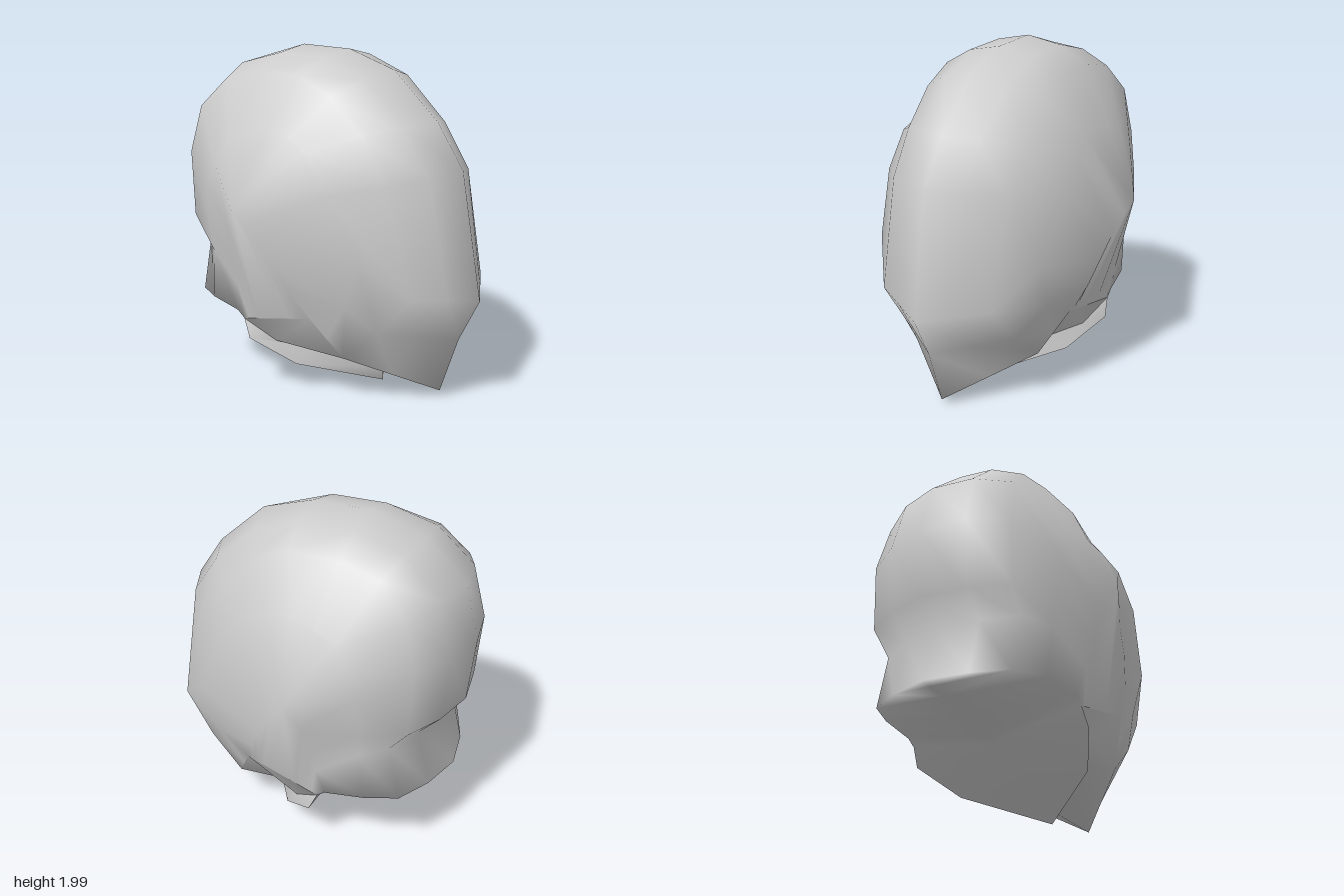
import * as THREE from 'three';
import { mergeGeometries, mergeVertices } from 'three/addons/utils/BufferGeometryUtils.js';

// Lines running from the chin, over the crown and down to the nape
const ridge = [ // centre line: y, z
  [0.05, 0.72], [0.39, 0.84], [0.64, 0.97], [1.36, 0.84], [1.61, 0.67], [1.88, 0.37], [1.985, 0.05],
  [2, -0.3], [1.91, -0.63], [1.69, -0.88], [1.36, -0.965], [0.97, -0.93], [0.83, -0.8], [0.5, -0.89],
].map(([y, z]) => [0, y, z]);
const shoulder = [
  [0.42, 0.28, 0.34], [0.39, 0.46, 0.56], [0.35, 0.69, 0.76], [0.37, 1.3, 0.6], [0.37, 1.55, 0.44],
  [0.38, 1.75, 0.22], [0.385, 1.85, 0], [0.385, 1.86, -0.3], [0.4, 1.81, -0.56], [0.45, 1.64, -0.73],
  [0.48, 1.36, -0.8], [0.48, 0.97, -0.78], [0.46, 0.83, -0.67], [0.46, 0.5, -0.74],
];
const temple = [
  [0.485, 0.4, 0.27], [0.51, 0.62, 0.42], [0.53, 0.9, 0.52], [0.59, 1.25, 0.34], [0.575, 1.46, 0.2],
  [0.55, 1.53, 0.05], [0.55, 1.54, -0.1], [0.56, 1.52, -0.25], [0.58, 1.47, -0.38], [0.61, 1.35, -0.47],
  [0.62, 1.2, -0.52], [0.59, 0.95, -0.54], [0.57, 0.8, -0.53], [0.55, 0.5, -0.56],
];
const peak = [0.77, 1.13, -0.17]; // widest point of the side
const cheek = [ // up the rear edge of the face to the peak, then down to the neck
  [0.55, 0.52, 0.2], [0.63, 0.68, 0.12], [0.67, 0.82, 0.05], [0.7, 0.95, -0.04], [0.74, 1.05, -0.11],
  peak, peak, peak, peak, peak,
  [0.71, 0.98, -0.25], [0.66, 0.8, -0.28], [0.62, 0.64, -0.29], [0.58, 0.47, -0.33],
];

const mirror = ([x, y, z]) => [-x, y, z];
const lerp = (a, b, t) => a.map((v, k) => v + (b[k] - v) * t);
const across = pts => [...pts.slice(1).reverse().map(mirror), ...pts];

// Line between the ridge and the shoulder: straight at the keeled chin, splined above
const brow = ridge.map((p, i) => i < 3 ? lerp(p, shoulder[i], 0.5) : p.map((v, k) =>
  (9 * (v + shoulder[i][k]) - mirror(shoulder[i])[k] - temple[i][k]) / 16));
// Lower edge of the side
const jaw = ridge.map((_, i) => lerp(cheek[0], [0.58, 0.43, -0.28], i / 13));

// Surface through a grid of points
function loft(rows) {
  const n = rows[0].length;
  const index = [];
  for (let j = 0; j < rows.length - 1; j++) {
    for (let i = 0; i < n - 1; i++) {
      const a = j * n + i, b = a + n;
      index.push(a, b, a + 1, b, b + 1, a + 1);
    }
  }
  const g = new THREE.BufferGeometry();
  g.setAttribute('position', new THREE.Float32BufferAttribute(rows.flat(2), 3));
  g.setIndex(index);
  return g;
}

export function createModel() {
  const group = new THREE.Group();
  const material = new THREE.MeshStandardMaterial({ color: 0xcccccc, side: THREE.DoubleSide });
  // One smooth mesh from several grids that share edges
  const add = (name, ...grids) => {
    const geometry = mergeVertices(mergeGeometries(grids.map(loft)));
    geometry.computeVertexNormals();
    const mesh = new THREE.Mesh(geometry, material);
    mesh.name = name;
    group.add(mesh);
  };

  const half = [brow, shoulder, temple, cheek, jaw];
  const dome = [...half.map(line => line.map(mirror)).reverse(), ridge, ...half];

  // Thin strap below the jaw: lower edge, and root where it meets the underside
  const strapEdge = [[0, 0.01, 0.31], [0.44, 0.17, 0], [0.59, 0.32, -0.23], jaw[13]];
  const strapRoot = [[0, 0.09, 0.31], [0.34, 0.25, 0.05], [0.5, 0.31, -0.1], jaw[13]];

  // Underside of the chin, from its lower edge back to the strap
  const chinEdge = [ridge[0], shoulder[0], jaw[0], jaw[13]];
  const chinUnderside = [across(chinEdge), across(strapRoot)];

  // Underside of the neck, from the strap back to the nape, with a shallow keel
  const neckRim = [...strapEdge, ...[cheek, temple, shoulder, brow, ridge].map(l => l[13])];
  const keel = neckRim.map(([, , z]) => z > -0.23
    ? [0, 0.01 + 0.32 * (0.31 - z) / 0.54, z]
    : [0, 0.33 + 0.17 * (-0.23 - z) / 0.66, z]);
  const neckUnderside = [neckRim, keel, neckRim.map(mirror)];

  add('shell', dome, chinUnderside, neckUnderside);
  add('jawStrap', [across(strapRoot), across(strapEdge)]);
  return group;
}
